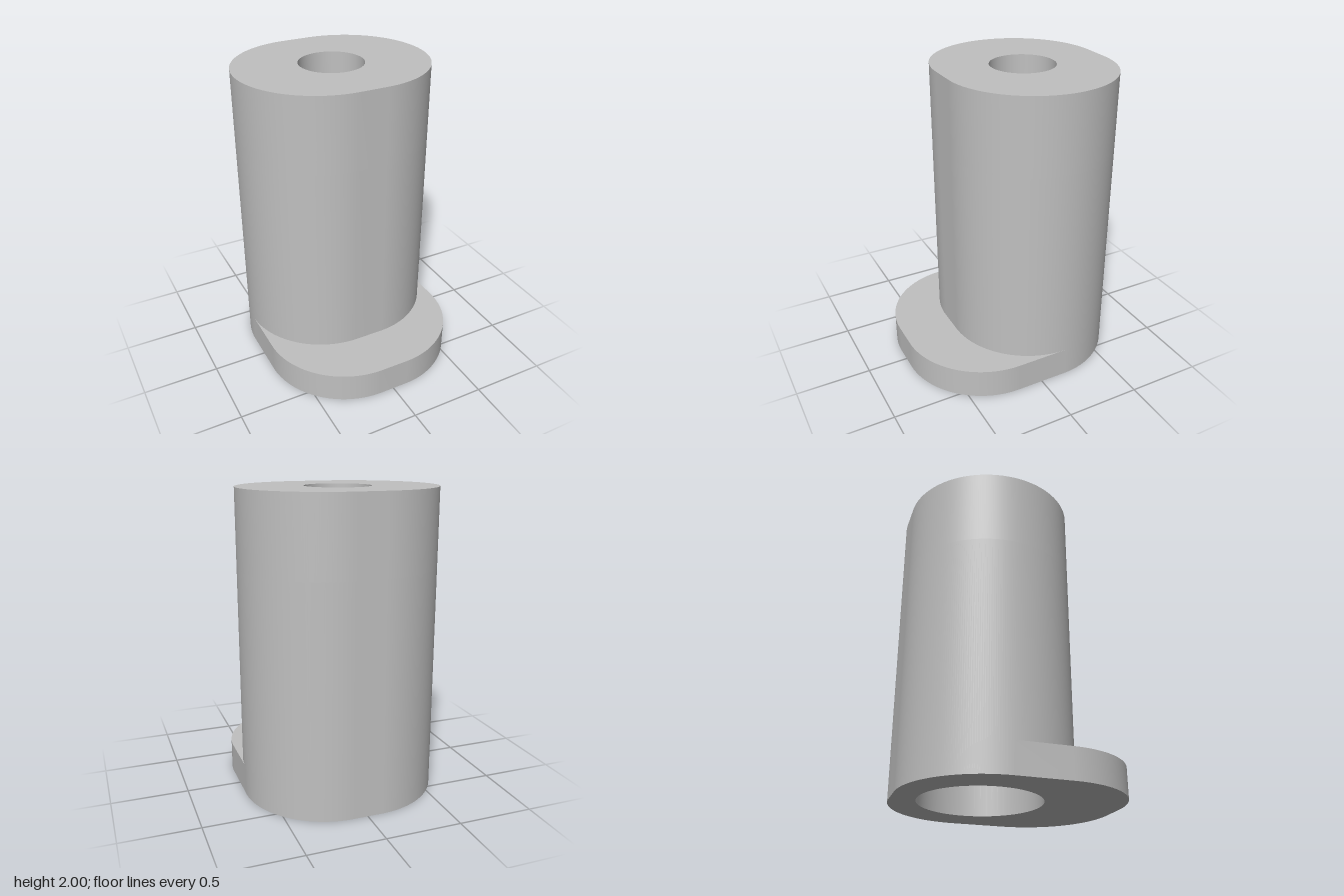
import * as THREE from 'three';
import { toCreasedNormals } from 'three/addons/utils/BufferGeometryUtils.js';

const PI = Math.PI;
const R = 0.55;      // corner radius of the oblong outline
const C = 0.093;     // half distance between the arc centres
const AXIS = 0.175;  // body axis sits at z = -AXIS (shape y = -z)
const BODY_TOP = 2, LEDGE = 1.5, FLANGE_TOP = 0.2;

// Oblong body outline with a round bore
function bodyShape(boreRadius) {
  const s = new THREE.Shape();
  s.absarc(C, AXIS, R, 0, PI / 2);
  s.absarc(-C, AXIS, R, PI / 2, PI);
  s.absarc(-C, AXIS, R, PI, 1.5 * PI);
  s.absarc(C, AXIS, R, 1.5 * PI, 2 * PI);
  s.closePath();
  const bore = new THREE.Path();
  bore.absarc(0, AXIS, boreRadius, 0, 2 * PI, true);
  s.holes.push(bore);
  return s;
}

// Crescent foot that wraps the front half of the body
function flangeShape() {
  const s = new THREE.Shape();
  s.absarc(-C, -AXIS, R, PI, 1.5 * PI);
  s.absarc(C, -AXIS, R, 1.5 * PI, 2 * PI);
  s.absarc(C, AXIS, R, 2 * PI, 1.5 * PI, true);
  s.absarc(-C, AXIS, R, 1.5 * PI, PI, true);
  s.closePath();
  return s;
}

// Vertical extrusion of a plan shape between two heights
function slab(name, shape, y0, y1, material) {
  const flat = new THREE.ExtrudeGeometry(shape, { depth: y1 - y0, bevelEnabled: false, curveSegments: 32 });
  flat.rotateX(-PI / 2);
  flat.translate(0, y0, 0);
  const mesh = new THREE.Mesh(toCreasedNormals(flat, 0.5), material);
  mesh.name = name;
  return mesh;
}

export function createModel() {
  const grey = new THREE.MeshStandardMaterial({ color: 0xc0c0c0 });
  grey.name = 'light grey';

  const group = new THREE.Group();
  group.name = 'flangedSpacer';
  group.add(
    slab('counterboredBody', bodyShape(0.395), 0, LEDGE, grey),
    slab('upperBody', bodyShape(0.213), LEDGE, BODY_TOP, grey),
    slab('footFlange', flangeShape(), 0, FLANGE_TOP, grey),
  );
  return group;
}
